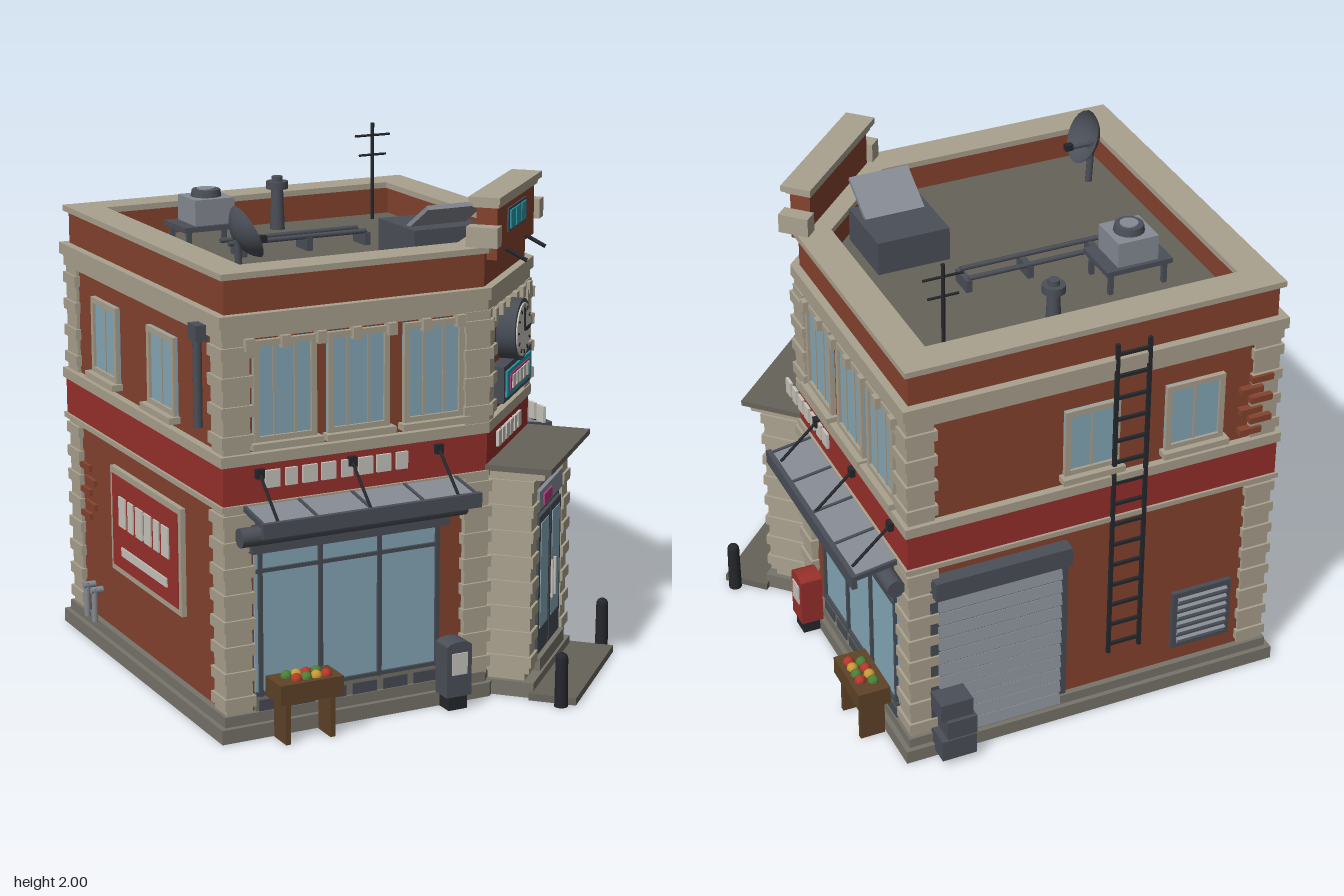
import * as THREE from 'three';

const C = {
  brick: 0x85432e, red: 0x98302b, stone: 0xaaa18e, plinth: 0x77746a, roof: 0x66635a, glass: 0x86a9b8,
  frame: 0x474c55, metal: 0x4b4f58, light: 0x868b94, white: 0xc9c5bd, teal: 0x2a98a5, pink: 0xb03a7c,
  wood: 0x5f4328, black: 0x25272c, green: 0x4c8038, fruit: 0xb5382a, yellow: 0xc89a35,
};
const mats = {};
const mat = (c) => (mats[c] ??= new THREE.MeshStandardMaterial({ color: C[c], side: THREE.DoubleSide }));

function add(parent, name, geo, color, pos = [0, 0, 0], rot = [0, 0, 0]) {
  const m = new THREE.Mesh(geo, mat(color));
  m.name = name;
  m.position.set(...pos);
  m.rotation.set(...rot);
  parent.add(m);
  return m;
}
const box = (p, name, size, pos, color, rot) => add(p, name, new THREE.BoxGeometry(...size), color, pos, rot);
const cyl = (p, name, r0, r1, h, pos, color, rot, n = 16) => add(p, name, new THREE.CylinderGeometry(r0, r1, h, n), color, pos, rot);
function rod(p, name, a, b, r, color) {
  const A = new THREE.Vector3(...a), B = new THREE.Vector3(...b);
  const m = cyl(p, name, r, r, A.distanceTo(B), A.clone().add(B).multiplyScalar(0.5).toArray(), color, [0, 0, 0], 8);
  m.quaternion.setFromUnitVectors(new THREE.Vector3(0, 1, 0), B.sub(A).normalize());
}
function group(parent, name, x, z, ry) {
  const g = new THREE.Group();
  g.name = name;
  g.position.set(x, 0, z);
  g.rotation.y = ry;
  parent.add(g);
  return g;
}

// Footprint: a square with its front left corner cut at 45 degrees, grown by o
const CX = -0.115, CZ = -0.09, H = 0.735;
function footprint(o) {
  const r = H + o, k = 0.845 + o * Math.SQRT2;
  return [[CX - r, CZ - r], [CX + r, CZ - r], [CX + r, k - CX - r], [k - CZ - r, CZ + r], [CX - r, CZ + r]]
    .map(([x, z]) => new THREE.Vector2(x, z));
}
function ring(p, name, o, y0, y1, color, inner) {
  const s = new THREE.Shape(footprint(o));
  if (inner !== undefined) s.holes.push(new THREE.Path(footprint(inner)));
  const g = new THREE.ExtrudeGeometry(s, { depth: y1 - y0, bevelEnabled: false });
  add(p, name, g.rotateX(Math.PI / 2), color, [0, y1, 0]);
}

// Stone pilaster with projecting quoin blocks on both storeys
function pilaster(p, x, z, w, d, upper = true, lower = true) {
  const span = (y0, y1, n) => {
    box(p, 'pilaster', [w, y1 - y0, d], [x, (y0 + y1) / 2, z], 'stone');
    for (let i = 0; i < n; i++)
      box(p, 'quoin', [w + 0.02, 0.042, d + 0.02], [x, y0 + (i + 0.5) * (y1 - y0) / n, z], 'stone');
  };
  if (lower) span(0.09, 0.88, 8);
  if (upper) span(1.07, 1.5, 4);
}

// Upper window: stone surround, glass, thin bars
function sashWindow(p, x, y0, y1, w, bars = 2) {
  const h = y1 - y0, y = (y0 + y1) / 2;
  box(p, 'windowGlass', [w, h, 0.012], [x, y, 0.003], 'glass');
  for (const s of [-1, 1]) {
    box(p, 'windowJamb', [0.022, h, 0.04], [x + s * (w / 2 - 0.011), y, 0], 'stone');
    box(p, 'windowRail', [w, 0.022, 0.04], [x, y + s * (h / 2 - 0.011), 0], 'stone');
  }
  for (let i = 1; i <= bars; i++)
    box(p, 'windowBar', [0.009, h, 0.026], [x - w / 2 + i * w / (bars + 1), y, 0], 'stone');
  box(p, 'windowSill', [w + 0.03, 0.025, 0.07], [x, y0 - 0.01, 0.01], 'stone');
}

function blocks(p, name, x0, x1, y, h, n, z, color) {
  const step = (x1 - x0) / n;
  for (let i = 0; i < n; i++)
    box(p, name, [step * (i % 3 === 1 ? 0.62 : 0.78), h, 0.012], [x0 + (i + 0.5) * step, y, z], color);
}

// Shop facade; s mirrors it so that the cut corner stays on its +x * s side
function shopFacade(g, s, boxColor) {
  pilaster(g, s * 0.28, 0, 0.1, 0.05);
  [-0.505, -0.21, 0.1].forEach((x) => sashWindow(g, s * x, 1.11, 1.485, 0.25));
  for (let i = 0; i < 7; i++) box(g, 'corniceBracket', [0.035, 0.045, 0.06], [s * (-0.65 + i * 0.142), 1.475, 0.01], 'stone');
  // shop window
  box(g, 'shopGlass', [0.76, 0.56, 0.012], [s * -0.25, 0.43, 0.003], 'glass');
  for (let i = 0; i < 4; i++) box(g, 'shopMullion', [0.016, 0.56, 0.03], [s * (-0.61 + i * 0.243), 0.43, 0.005], 'frame');
  for (const y of [0.16, 0.63, 0.705]) box(g, 'shopTransom', [0.76, 0.014, 0.03], [s * -0.25, y, 0.005], 'frame');
  box(g, 'shopBulkhead', [0.76, 0.075, 0.02], [s * -0.25, 0.115, 0.005], 'plinth');
  for (let i = 0; i < 6; i++) box(g, 'bulkheadPanel', [0.1, 0.045, 0.012], [s * (-0.57 + i * 0.128), 0.115, 0.015], 'frame');
  // awning, roller housing, stays and lamps
  const slope = Math.atan2(0.03, 0.19);
  box(g, 'awning', [0.87, 0.014, 0.2], [s * -0.245, 0.865, 0.1], 'light', [slope, 0, 0]);
  for (let i = 0; i < 5; i++) box(g, 'awningRib', [0.012, 0.02, 0.205], [s * (-0.675 + i * 0.215), 0.867, 0.1], 'frame', [slope, 0, 0]);
  box(g, 'awningLip', [0.885, 0.055, 0.02], [s * -0.245, 0.84, 0.2], 'metal');
  cyl(g, 'awningRoller', 0.036, 0.036, 0.92, [s * -0.245, 0.775, 0.045], 'metal', [0, 0, Math.PI / 2]);
  box(g, 'rollerSkirt', [0.81, 0.05, 0.03], [s * -0.25, 0.73, 0.03], 'metal');
  for (const x of [-0.615, -0.245, 0.115]) {
    box(g, 'stayPlate', [0.032, 0.035, 0.03], [s * x, 1.0, 0.025], 'black');
    rod(g, 'awningStay', [s * x, 1.0, 0.03], [s * x, 0.86, 0.18], 0.006, 'black');
    cyl(g, 'awningLamp', 0.03, 0.03, 0.012, [s * x * 0.9, 0.853, 0.11], 'stone');
  }
  // produce table
  box(g, 'produceTray', [0.255, 0.075, 0.13], [s * -0.475, 0.198, 0.1], 'wood');
  for (const x of [-0.565, -0.385]) box(g, 'tableLeg', [0.02, 0.17, 0.1], [s * x, 0.085, 0.1], 'wood');
  for (let i = 0; i < 8; i++)
    add(g, 'produce', new THREE.SphereGeometry(0.023, 8, 6), ['green', 'fruit', 'yellow'][i % 3],
      [s * (-0.54 + i * 0.02), 0.237, 0.08 + (i % 2) * 0.045]);
  // newspaper box
  box(g, 'newsBox', [0.105, 0.2, 0.09], [s * 0.157, 0.155, 0.08], boxColor);
  cyl(g, 'newsBoxTop', 0.0525, 0.0525, 0.09, [s * 0.157, 0.25, 0.08], boxColor, [Math.PI / 2, 0, 0]).scale.z = 0.4;
  box(g, 'newsBoxFoot', [0.08, 0.06, 0.07], [s * 0.157, 0.03, 0.08], 'black');
  box(g, 'newsBoxPane', [0.065, 0.085, 0.01], [s * 0.157, 0.185, 0.125], 'white');
}

// Cut corner with entrance, clock, sign and raised pediment
function cornerFacade(g) {
  for (const s of [-1, 1]) {
    pilaster(g, s * 0.265, 0, 0.07, 0.05, true, false);
    pilaster(g, s * 0.24, 0.1, 0.08, 0.18, false, true);
    box(g, 'pedimentShoulder', [0.06, 0.075, 0.12], [s * 0.31, 1.775, 0], 'stone');
    cyl(g, 'bollard', 0.024, 0.026, 0.19, [s * 0.336, 0.095, 0.33], 'black');
    add(g, 'bollardCap', new THREE.SphereGeometry(0.024, 12, 8), 'black', [s * 0.336, 0.19, 0.33]);
    box(g, 'doorLeaf', [0.165, 0.55, 0.02], [s * 0.087, 0.405, 0.183], 'frame');
    box(g, 'doorGlass', [0.115, 0.42, 0.012], [s * 0.087, 0.44, 0.19], 'glass');
    rod(g, 'doorHandle', [s * 0.022, 0.32, 0.21], [s * 0.022, 0.47, 0.21], 0.006, 'white');
    rod(g, 'signLamp', [s * 0.14, 1.7, 0.04], [s * 0.14, 1.66, 0.12], 0.008, 'black');
  }
  box(g, 'portal', [0.54, 0.87, 0.2], [0, 0.435, 0.07], 'stone');
  box(g, 'entranceStep', [0.58, 0.06, 0.22], [0, 0.03, 0.1], 'plinth');
  box(g, 'entranceStep', [0.38, 0.05, 0.08], [0, 0.1, 0.17], 'plinth');
  box(g, 'doorFrame', [0.39, 0.68, 0.012], [0, 0.45, 0.172], 'frame');
  box(g, 'doorHeader', [0.36, 0.075, 0.03], [0, 0.745, 0.18], 'light');
  box(g, 'doorPlate', [0.12, 0.04, 0.01], [-0.07, 0.742, 0.198], 'pink');
  box(g, 'canopySoffit', [0.58, 0.03, 0.25], [0, 0.875, 0.115], 'stone');
  box(g, 'canopyRoof', [0.62, 0.022, 0.28], [0, 0.9, 0.13], 'roof');
  box(g, 'pavementRamp', [0.63, 0.028, 0.185], [0, 0.014, 0.29], 'roof');
  blocks(g, 'signBlock', -0.18, 0.17, 0.975, 0.06, 6, 0.025, 'white');
  for (let i = 0; i < 6; i++) box(g, 'corniceBracket', [0.035, 0.045, 0.06], [-0.25 + i * 0.1, 1.475, 0.01], 'stone');
  // lit sign
  box(g, 'signCase', [0.4, 0.14, 0.06], [0, 1.19, 0.025], 'frame');
  box(g, 'signPanel', [0.36, 0.1, 0.01], [0, 1.19, 0.058], 'teal');
  box(g, 'signInset', [0.28, 0.065, 0.01], [0, 1.19, 0.062], 'pink');
  blocks(g, 'signBlock', -0.13, 0.13, 1.19, 0.05, 5, 0.066, 'white');
  // clock
  const face = [Math.PI / 2, 0, 0];
  cyl(g, 'clockCase', 0.118, 0.118, 0.075, [0, 1.365, 0.035], 'frame', face, 32);
  cyl(g, 'clockFace', 0.102, 0.102, 0.01, [0, 1.365, 0.073], 'white', face, 32);
  for (let i = 0; i < 12; i++) {
    const a = i * Math.PI / 6;
    box(g, 'hourMark', [0.006, 0.016, 0.006], [0.086 * Math.sin(a), 1.365 + 0.086 * Math.cos(a), 0.079], 'black', [0, 0, -a]);
  }
  box(g, 'minuteHand', [0.01, 0.085, 0.006], [0, 1.405, 0.081], 'black');
  box(g, 'hourHand', [0.065, 0.012, 0.006], [0.03, 1.365, 0.083], 'black');
  // pediment
  box(g, 'pediment', [0.54, 0.22, 0.08], [0, 1.79, 0], 'brick');
  box(g, 'pedimentCoping', [0.62, 0.024, 0.12], [0, 1.907, 0], 'stone');
  box(g, 'pedimentMoulding', [0.57, 0.018, 0.1], [0, 1.885, 0], 'stone');
  box(g, 'pedimentPanel', [0.26, 0.09, 0.01], [0, 1.805, 0.041], 'frame');
  for (const x of [-0.078, 0, 0.078]) box(g, 'pedimentLight', [0.066, 0.07, 0.012], [x, 1.805, 0.046], 'teal');
}

function backFacade(g) {
  sashWindow(g, -0.02, 1.12, 1.4, 0.22, 1);
  sashWindow(g, 0.4, 1.12, 1.4, 0.24, 1);
  // roller shutter
  box(g, 'shutterFrame', [0.56, 0.72, 0.02], [-0.385, 0.4, 0.005], 'frame');
  for (let i = 0; i < 11; i++) box(g, 'shutterSlat', [0.5, 0.046, 0.02], [-0.385, 0.085 + i * 0.06, 0.018], 'light', [-0.25, 0, 0]);
  box(g, 'shutterHousing', [0.55, 0.08, 0.06], [-0.385, 0.78, 0.03], 'metal');
  // ladder
  for (const x of [0.065, 0.195]) box(g, 'ladderRail', [0.014, 1.4, 0.014], [x, 0.95, 0.03], 'black');
  for (let i = 0; i < 15; i++) box(g, 'ladderRung', [0.13, 0.012, 0.012], [0.13, 0.29 + i * 0.094, 0.03], 'black');
  // louvred vent
  box(g, 'ventFrame', [0.25, 0.26, 0.03], [0.47, 0.3, 0.005], 'frame');
  for (let i = 0; i < 6; i++) box(g, 'ventLouvre', [0.21, 0.022, 0.02], [0.47, 0.205 + i * 0.038, 0.02], 'light', [0.4, 0, 0]);
  [[0.14, 0.09, 0], [0.12, 0.08, 0.012], [0.13, 0.075, -0.01]].forEach(([w, h, dx], i) =>
    box(g, 'crate', [w, h, 0.1], [-0.595 + dx, 0.075 + i * 0.092, 0.07], 'metal'));
  for (let i = 0; i < 6; i++) box(g, 'exposedBrick', [0.09, 0.026, 0.03], [0.63 + (i % 2) * 0.04, 1.12 + i * 0.045, 0.02], 'brick');
}

function sideFacade(g) {
  for (const x of [-0.35, 0.2]) sashWindow(g, x, 1.12, 1.42, 0.25, 1);
  // framed board
  box(g, 'boardFrame', [0.68, 0.42, 0.03], [0.03, 0.57, 0.005], 'stone');
  box(g, 'boardPanel', [0.63, 0.37, 0.02], [0.03, 0.57, 0.014], 'red');
  blocks(g, 'boardBlock', -0.22, 0.28, 0.62, 0.12, 6, 0.024, 'white');
  box(g, 'boardStrip', [0.44, 0.035, 0.012], [0.03, 0.46, 0.024], 'white');
  // downpipe and meter pipes
  rod(g, 'downpipe', [0.59, 1.15, 0.04], [0.59, 1.5, 0.04], 0.018, 'metal');
  box(g, 'downpipeHead', [0.07, 0.06, 0.05], [0.59, 1.5, 0.035], 'metal');
  for (const x of [-0.55, -0.47]) {
    rod(g, 'meterPipe', [x, 0.09, 0.035], [x, 0.23, 0.035], 0.013, 'light');
    rod(g, 'meterElbow', [x, 0.22, 0], [x, 0.22, 0.05], 0.014, 'light');
  }
  for (let i = 0; i < 5; i++) box(g, 'exposedBrick', [0.1, 0.026, 0.02], [-0.6 + (i % 2) * 0.05, 0.5 + i * 0.05, 0.004], 'brick');
}

function roofItems(g) {
  // air conditioner on its stand
  box(g, 'unitPlatform', [0.27, 0.02, 0.2], [-0.45, 1.7, -0.39], 'metal');
  for (const x of [-0.56, -0.34]) for (const z of [-0.47, -0.31]) box(g, 'platformLeg', [0.018, 0.1, 0.018], [x, 1.65, z], 'metal');
  box(g, 'coolingUnit', [0.165, 0.1, 0.165], [-0.45, 1.76, -0.39], 'light');
  cyl(g, 'coolingFan', 0.055, 0.06, 0.03, [-0.45, 1.822, -0.39], 'metal');
  cyl(g, 'fanHub', 0.035, 0.035, 0.006, [-0.45, 1.839, -0.39], 'light');
  // vent stack and aerial
  cyl(g, 'ventStack', 0.022, 0.03, 0.22, [-0.04, 1.71, -0.61], 'metal');
  cyl(g, 'ventCap', 0.044, 0.044, 0.03, [-0.04, 1.785, -0.61], 'metal');
  rod(g, 'aerialMast', [0.4, 1.6, -0.63], [0.4, 2, -0.63], 0.008, 'black');
  [[1.95, 0.078], [1.87, 0.06]].forEach(([y, r]) => rod(g, 'aerialBar', [0.4 - r, y, -0.63], [0.4 + r, y, -0.63], 0.005, 'black'));
  // pipe run
  for (const z of [-0.24, -0.165]) rod(g, 'roofPipe', [-0.46, 1.66, z], [0.13, 1.66, z], 0.01, 'metal');
  for (const x of [-0.4, -0.12, 0.13]) box(g, 'pipeSupport', [0.025, 0.05, 0.1], [x, 1.63, -0.2], 'metal');
  // open roof hatch
  box(g, 'hatch', [0.29, 0.14, 0.29], [0.245, 1.67, 0.145], 'metal');
  box(g, 'hatchLid', [0.24, 0.018, 0.19], [0.245, 1.785, 0.265], 'light', [-0.55, 0, 0]);
  // dish
  const dish = new THREE.SphereGeometry(0.13, 20, 6, 0, Math.PI * 2, 0, 0.95).translate(0, -0.13, 0).rotateX(Math.PI);
  add(g, 'dish', dish, 'metal', [-0.66, 1.785, 0.33], [0, 0, -1.15]);
  rod(g, 'dishArm', [-0.66, 1.77, 0.33], [-0.55, 1.77, 0.33], 0.009, 'metal');
  box(g, 'dishFeed', [0.03, 0.025, 0.025], [-0.55, 1.775, 0.33], 'black');
  rod(g, 'dishStand', [-0.64, 1.6, 0.33], [-0.65, 1.78, 0.33], 0.014, 'metal');
}

export function createModel() {
  const root = new THREE.Group();
  root.name = 'cornerShop';
  // masonry courses from the ground up
  ring(root, 'plinth', 0.045, 0, 0.055, 'plinth');
  ring(root, 'plinthCap', 0.025, 0.055, 0.095, 'plinth');
  ring(root, 'walls', 0, 0.05, 1.595, 'brick');
  ring(root, 'lowerCourse', 0.03, 0.87, 0.89, 'stone');
  ring(root, 'signBand', 0.02, 0.89, 1.035, 'red');
  ring(root, 'middleCourse', 0.03, 1.035, 1.075, 'stone');
  ring(root, 'cornice', 0.02, 1.495, 1.545, 'stone');
  ring(root, 'corniceTop', 0.032, 1.54, 1.585, 'stone');
  ring(root, 'roofDeck', -0.08, 1.59, 1.605, 'roof');
  ring(root, 'parapet', 0, 1.58, 1.712, 'brick', -0.1);
  ring(root, 'coping', 0.018, 1.712, 1.735, 'stone', -0.115);
  // square corners
  for (const [sx, sz] of [[-1, 1], [-1, -1], [1, -1]])
    pilaster(root, CX + sx * (H - 0.04), CZ + sz * (H - 0.04), 0.105, 0.105);

  const front = group(root, 'frontFacade', CX, CZ + H, 0);
  shopFacade(front, 1, 'metal');
  blocks(front, 'signBlock', -0.6, 0, 0.975, 0.065, 8, 0.025, 'white');
  const left = group(root, 'leftFacade', CX + H, CZ, Math.PI / 2);
  shopFacade(left, -1, 'red');
  blocks(left, 'signBlock', -0.45, 0, 0.975, 0.065, 7, 0.025, 'white');
  cornerFacade(group(root, 'cornerFacade', 0.41, 0.435, Math.PI / 4));
  backFacade(group(root, 'backFacade', CX, CZ - H, Math.PI));
  sideFacade(group(root, 'rightFacade', CX - H, CZ, -Math.PI / 2));
  roofItems(group(root, 'roofItems', 0, 0, 0));
  return root;
}
